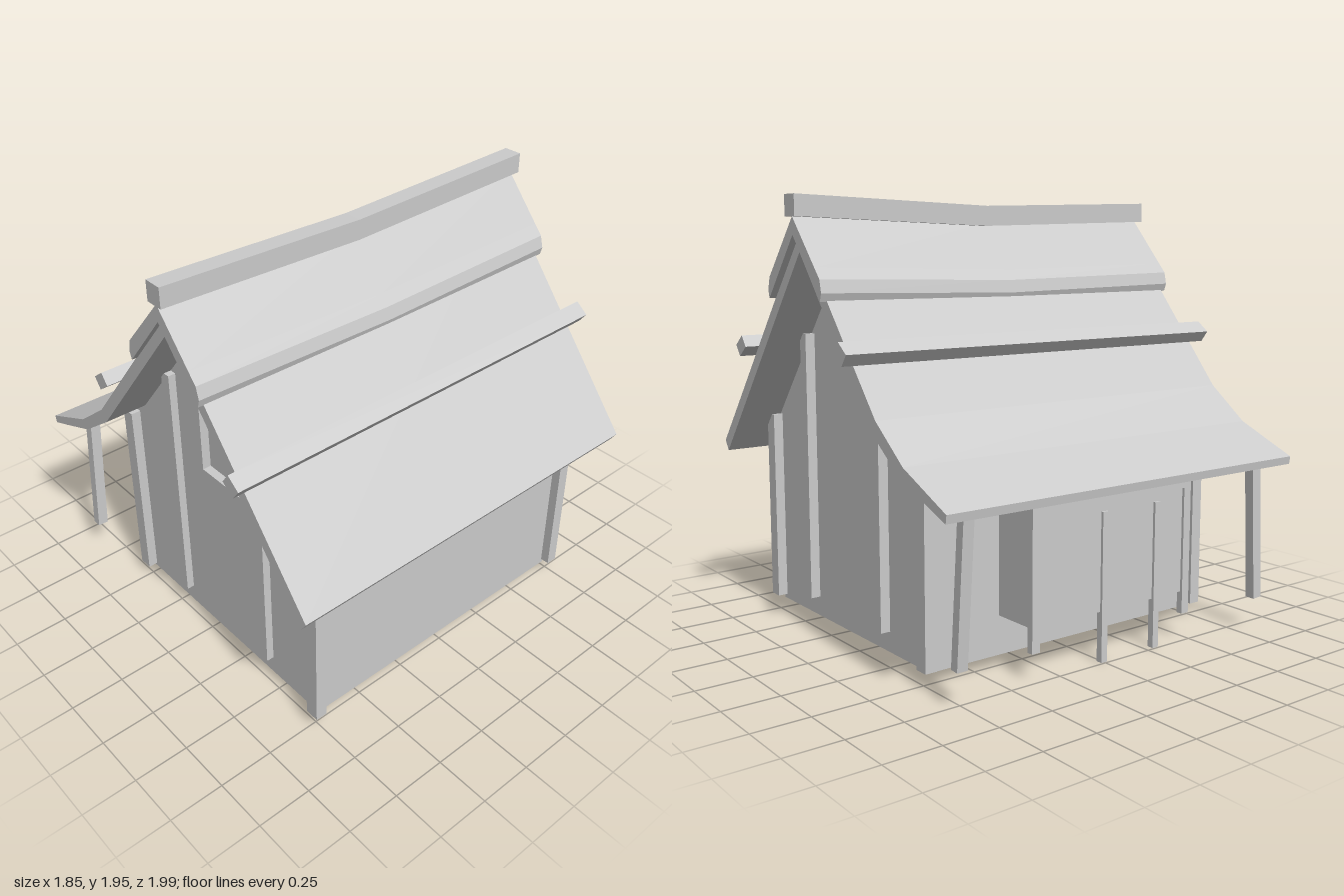
import * as THREE from 'three';

const mat = new THREE.MeshStandardMaterial({ color: 0xcccccc, flatShading: true, side: THREE.DoubleSide });

export function createModel() {
  const house = new THREE.Group();

  const add = (name, geo) => {
    const mesh = new THREE.Mesh(geo, mat);
    mesh.name = name;
    house.add(mesh);
    return mesh;
  };

  // Box given by its extents
  const box = (name, x0, x1, y0, y1, z0, z1) => {
    const m = add(name, new THREE.BoxGeometry(x1 - x0, y1 - y0, z1 - z0));
    m.position.set((x0 + x1) / 2, (y0 + y1) / 2, (z0 + z1) / 2);
    return m;
  };

  const rectPath = (x0, x1, y0, y1) =>
    new THREE.Path([[x0, y0], [x0, y1], [x1, y1], [x1, y0]].map(p => new THREE.Vector2(...p)));

  // Front-view outline extruded from z0 to z1
  const prism = (name, pts, z0, z1, holes = [], steps = 1) => {
    const shape = new THREE.Shape(pts.map(p => new THREE.Vector2(...p)));
    shape.holes.push(...holes);
    const geo = new THREE.ExtrudeGeometry(shape, { depth: z1 - z0, bevelEnabled: false, steps });
    geo.translate(0, 0, z0);
    return add(name, geo);
  };

  // Square timber between two points
  const timber = (name, a, b, w, d) => {
    const from = new THREE.Vector3(...a), to = new THREE.Vector3(...b);
    const m = add(name, new THREE.BoxGeometry(w, from.distanceTo(to), d));
    m.position.copy(from).add(to).multiplyScalar(0.5);
    m.quaternion.setFromUnitVectors(new THREE.Vector3(0, 1, 0), to.sub(from).normalize());
    return m;
  };

  // Lower the middle of a lengthwise piece
  const sag = (mesh, amount, half) => {
    const p = mesh.geometry.attributes.position;
    for (let i = 0; i < p.count; i++) {
      p.setY(i, p.getY(i) - amount * (1 - Math.abs(p.getZ(i)) / half));
    }
    mesh.geometry.computeVertexNormals();
  };

  // Roof: straight slope on one side, flared eave on the other
  prism('roof', [
    [-0.93, 0.805], [-0.84, 0.845], [-0.65, 0.93], [-0.46, 1.08], [0.12, 1.79], [0.92, 0.82],
    [0.89, 0.775], [0.12, 1.71], [-0.43, 1.03], [-0.62, 0.89], [-0.82, 0.81], [-0.925, 0.77],
  ], -0.93, 0.935);

  // Ridge cover with rolled lower edges
  sag(prism('ridgeCover', [
    [-0.1, 1.515], [-0.112, 1.55], [-0.1, 1.605], [-0.06, 1.65], [0.12, 1.855],
    [0.3, 1.65], [0.34, 1.605], [0.355, 1.55], [0.345, 1.515], [0.12, 1.78],
  ], -0.96, 0.96, [], 2), 0.02, 0.96);

  // Sagging ridge beam
  sag(prism('ridgeBeam', [[0.08, 1.855], [0.165, 1.855], [0.165, 1.945], [0.08, 1.945]],
    -0.97, 0.97, [], 2), 0.03, 0.97);

  // Poles lying on the slopes
  for (const [x, y, turn] of [[-0.313, 1.325, 0.65], [0.572, 1.297, -0.65]]) {
    const pole = add('roofPole', new THREE.BoxGeometry(0.075, 0.06, 1.99));
    pole.position.set(x, y, 0);
    pole.rotation.z = turn;
  }

  // Gable walls
  const gable = [[-0.51, 0.05], [0.75, 0.05], [0.75, 0.95], [0.12, 1.715], [-0.43, 1.035], [-0.51, 0.975]];
  prism('frontWall', gable, 0.69, 0.735, [rectPath(0, 0.255, 0.92, 1.3)]);
  box('windowPanel', 0, 0.255, 0.92, 1.3, 0.68, 0.695);
  prism('backWall', gable, -0.725, -0.69);

  // Side walls, the left one opening into the bay
  box('rightWall', 0.72, 0.75, 0.05, 0.96, -0.69, 0.69);
  box('leftWallBase', -0.51, -0.48, 0.05, 0.22, -0.69, 0.69);
  box('leftWallTop', -0.51, -0.48, 0.88, 0.98, -0.69, 0.69);
  box('leftWallBack', -0.51, -0.48, 0.22, 0.88, -0.69, -0.37);
  box('leftWallFront', -0.51, -0.48, 0.22, 0.88, 0.48, 0.69);

  // Corner posts and gable studs, front and back
  for (const s of [1, -1]) {
    const z0 = s > 0 ? 0.725 : -0.77, z1 = s > 0 ? 0.78 : -0.715;
    box('cornerPost', -0.545, -0.48, 0.065, 0.975, z0, z1);
    box('cornerPost', 0.727, 0.792, 0.07, 0.95, z0, z1);
    const z = s * 0.745;
    timber('gableStud', [-0.185, 0.14, z], [-0.183, 1.33, z], 0.055, 0.05);
    timber('gableStud', [0.42, 0.14, z], [0.418, 1.35, z], 0.052, 0.05);
  }

  // Side bay under the flared eave
  const baySide = [[-0.73, 0.22], [-0.5, 0.22], [-0.5, 0.92], [-0.73, 0.8]];
  prism('baySideFront', baySide, 0.47, 0.49);
  prism('baySideBack', baySide, -0.38, -0.36);
  box('bayWall', -0.73, -0.715, 0.22, 0.8, -0.37, 0.48);
  box('bayFloor', -0.72, -0.5, 0.22, 0.235, -0.37, 0.48);
  box('bayLintel', -0.742, -0.712, 0.69, 0.81, -0.39, 0.5);
  for (const z of [0, 0.3]) box('bayPost', -0.742, -0.712, 0, 0.65, z - 0.016, z + 0.016);
  for (const z of [-0.37, 0.48]) box('bayCornerPost', -0.742, -0.712, 0.12, 0.69, z - 0.02, z + 0.02);

  // Leaning poles holding the eave
  timber('eavePole', [-0.838, 0.155, 0.825], [-0.838, 0.82, 0.79], 0.045, 0.05);
  timber('eavePole', [-0.777, 0.155, -0.77], [-0.835, 0.82, -0.775], 0.04, 0.05);

  return house;
}
